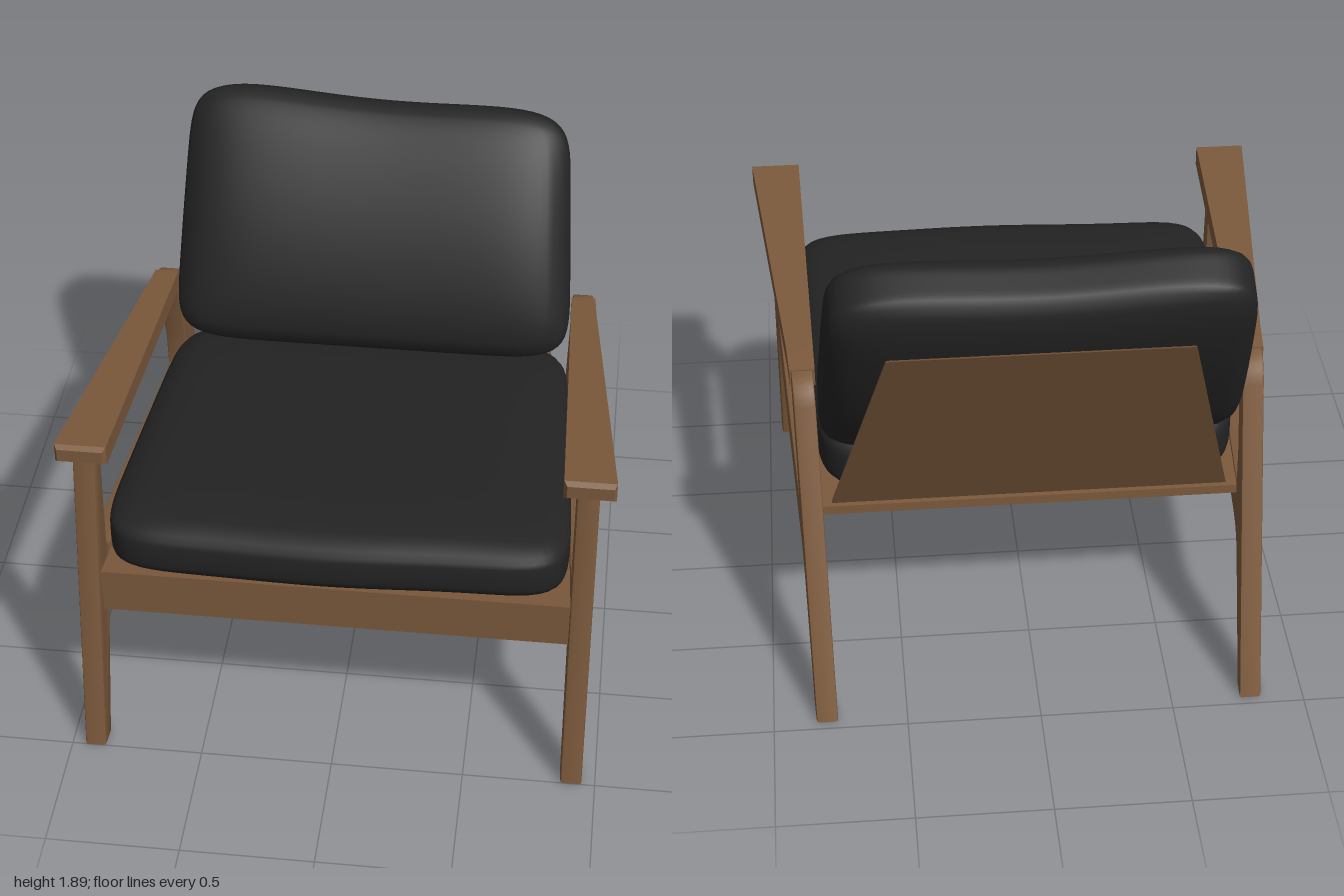
import * as THREE from 'three';
import { mergeVertices, toCreasedNormals } from 'three/addons/utils/BufferGeometryUtils.js';

const wood = new THREE.MeshStandardMaterial({ color: 0x7b593c });
wood.name = 'walnut wood';
const fabric = new THREE.MeshStandardMaterial({ color: 0x232323 });
fabric.name = 'black fabric';

const lerp = THREE.MathUtils.lerp;
// The side frames splay outwards towards the front.
const frameX = (z) => 0.854 + 0.056 * z;

function addMesh(group, name, geometry, material) {
  const mesh = new THREE.Mesh(geometry, material);
  mesh.name = name;
  group.add(mesh);
}

// Moves every vertex of a geometry by a rule.
function reshape(geometry, rule) {
  const pos = geometry.attributes.position;
  const p = new THREE.Vector3();
  for (let i = 0; i < pos.count; i++) {
    p.fromBufferAttribute(pos, i);
    rule(p);
    pos.setXYZ(i, p.x, p.y, p.z);
  }
  geometry.computeVertexNormals();
  return geometry;
}

// Closed outline from [z, y, corner radius] points.
function roundedOutline(path, points) {
  const pts = points.map(([z, y]) => new THREE.Vector2(-z, y));
  const n = pts.length;
  pts.forEach((p, i) => {
    const r = points[i][2] || 0;
    const toward = (q) => p.clone().add(q.clone().sub(p).setLength(r));
    const a = r ? toward(pts[(i + n - 1) % n]) : p;
    const b = r ? toward(pts[(i + 1) % n]) : p;
    if (i === 0) path.moveTo(a.x, a.y);
    else path.lineTo(a.x, a.y);
    if (r) path.quadraticCurveTo(p.x, p.y, b.x, b.y);
  });
  path.closePath();
  return path;
}

// Front leg, rail, back leg and arm support in one piece.
function sideFrame(side) {
  const shape = roundedOutline(new THREE.Shape(), [
    [1, 0], [0.92, 0], [0.79, 0.645, 0.07], [-0.6, 0.515, 0.09], [-0.885, 0],
    [-0.965, 0], [-0.505, 1.225, 0.09], [0.85, 1.35],
  ]);
  shape.holes.push(roundedOutline(new THREE.Path(), [
    [0.775, 1.28], [0.785, 0.81, 0.06], [-0.53, 0.695, 0.02],
    [-0.515, 0.86], [-0.415, 1.165, 0.03],
  ]));
  const geo = new THREE.ExtrudeGeometry(shape, {
    depth: 0.064, curveSegments: 6, bevelEnabled: true,
    bevelThickness: 0.008, bevelSize: 0.008, bevelOffset: -0.008, bevelSegments: 2,
  });
  geo.translate(0, 0, -0.032).rotateY(Math.PI / 2);
  reshape(geo, (p) => { p.x += side * frameX(p.z); });
  return toCreasedNormals(geo, 0.6);
}

// Armrest sections: [z, top, bottom, inner x, outer x]
const armSections = [
  [0.885, 1.345, 1.295, 0.825, 0.99],
  [0.87, 1.36, 1.284, 0.813, 1.0],
  [-0.3, 1.25, 1.17, 0.785, 0.884],
  [-0.43, 1.235, 1.165, 0.782, 0.875],
];

function armrest(side) {
  const geo = new THREE.BoxGeometry(1, 1, 3, 1, 1, 3);
  reshape(geo, (p) => {
    const [z, top, bottom, inner, outer] = armSections[Math.round(1.5 - p.z)];
    p.set(side * (inner + outer) / 2 + p.x * (outer - inner), p.y > 0 ? top : bottom, z);
  });
  return toCreasedNormals(geo, 0.5);
}

// Soft pillow: a rounded cube, thinner at its rim, placed by a rule.
function cushion(place, rim) {
  let geo = new THREE.BoxGeometry(2, 2, 2, 32, 12, 32);
  geo.deleteAttribute('uv');
  geo.deleteAttribute('normal');
  geo = mergeVertices(geo);
  return reshape(geo, (p) => {
    const size = Math.max(Math.abs(p.x), Math.abs(p.y), Math.abs(p.z));
    const norm = (p.x ** 8 + p.y ** 8 + p.z ** 8) ** (1 / 8);
    if (norm > 0) p.multiplyScalar(size / norm);
    const fullness = Math.max(0, (1 - p.x ** 6) * (1 - p.z ** 6));
    p.y *= rim + (1 - rim) * Math.sqrt(fullness);
    place(p);
  });
}

export function createModel() {
  const chair = new THREE.Group();
  chair.name = 'lounge chair';

  for (const [side, label] of [[1, 'left'], [-1, 'right']]) {
    addMesh(chair, label + 'SideFrame', sideFrame(side), wood);
    addMesh(chair, label + 'Armrest', armrest(side), wood);
  }

  // Front rail
  addMesh(chair, 'frontRail',
    new THREE.BoxGeometry(1.75, 0.147, 0.065).translate(0, 0.6735, 0.85), wood);

  // Sloping seat panel
  const panel = reshape(new THREE.BoxGeometry(1, 1, 1), (p) => {
    const t = p.z + 0.5;
    p.set(p.x * lerp(1.575, 1.74, t), lerp(0.67, 0.77, t) + p.y * 0.036, lerp(-0.54, 0.89, t));
  });
  addMesh(chair, 'seatPanel', panel, wood);

  // Back panel, narrower at the top and leaning back
  const back = reshape(new THREE.BoxGeometry(1, 1, 1), (p) => {
    const t = p.y + 0.5;
    p.set(p.x * lerp(1.5, 1.07, t), lerp(0.66, 1.6, t) - p.z * 0.014,
      lerp(-0.495, -0.945, t) + p.z * 0.03);
  });
  addMesh(chair, 'backPanel', back, wood);

  // Seat cushion
  const seat = cushion((p) => {
    const t = (p.z + 1) / 2;
    const bulge = 0.02 * (1 - p.y * p.y) * p.z;
    const top = lerp(0.955, 1.045, Math.sqrt(t));
    const bottom = lerp(0.69, 0.785, t);
    p.set(p.x * lerp(0.78, 0.865, t),
      lerp(bottom, top, (p.y + 1) / 2) + 0.006 * Math.sin(3 * p.x),
      lerp(-0.52, 0.92, t) + bulge + 0.008 * Math.cos(5 * p.x) * t);
  }, 0.72);
  addMesh(chair, 'seatCushion', seat, fabric);

  // Back cushion, leaning on the back panel, with a slightly uneven top
  const backrest = cushion((p) => {
    const t = (p.z + 1) / 2;
    const half = 0.165 + 0.05 * Math.sin(Math.PI * Math.min(1, t * 1.05)) - 0.02 * t;
    const out = -p.y * half;
    const sag = -0.018 * p.x * t - 0.01 * Math.cos(4 * p.x) * t;
    p.set(p.x * lerp(0.79, 0.745, t) - 0.015 * t,
      lerp(0.965, 1.84, t) + out * 0.47 + sag,
      lerp(-0.385, -0.845, t) + out * 0.88 + 0.02 * p.x * t);
  }, 0.6);
  addMesh(chair, 'backCushion', backrest, fabric);

  return chair;
}
